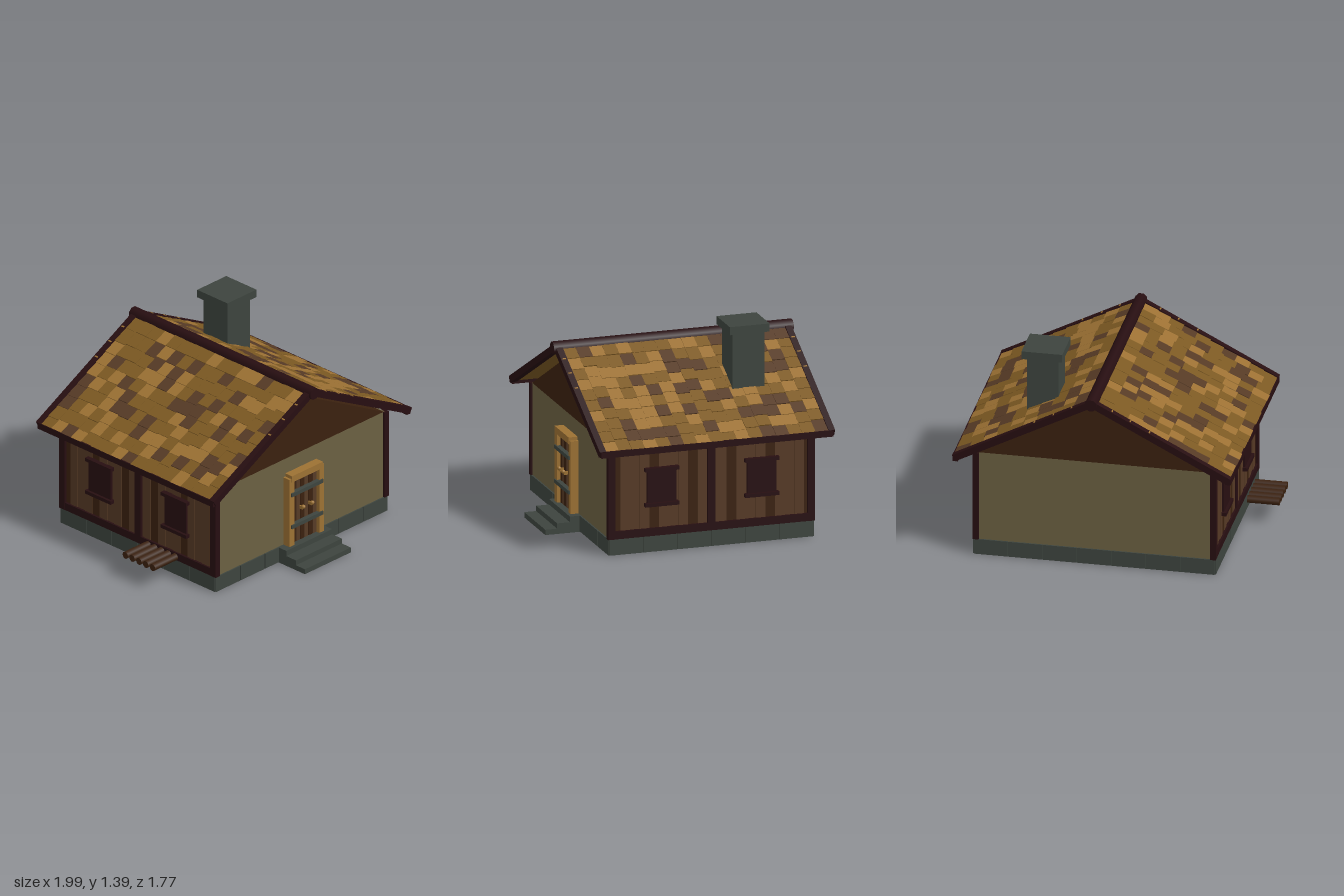
import * as THREE from 'three';
import { mergeGeometries } from 'three/addons/utils/BufferGeometryUtils.js';

const mat = (name, color) => {
  const m = new THREE.MeshStandardMaterial({ color });
  m.name = name;
  return m;
};

export function createModel() {
  const M = {
    stone: mat('stone', 0x3d443e),
    plaster: mat('plaster', 0x6b6042),
    darkWood: mat('darkWood', 0x3b210f),
    beam: mat('beam', 0x270e11),
    brown: mat('brownWood', 0x563a25),
    gold: mat('goldenWood', 0x9c7133),
    ochre: mat('ochreWood', 0x7c5922),
  };
  let seed = 7;
  const rnd = () => (seed = (seed * 16807) % 2147483647) / 2147483647;

  const add = (parent, name, geo, material) => {
    const m = new THREE.Mesh(geo, material);
    m.name = name;
    parent.add(m);
    return m;
  };
  // box geometry from its minimum and maximum corners
  const span = (x0, x1, y0, y1, z0, z1) =>
    new THREE.BoxGeometry(x1 - x0, y1 - y0, z1 - z0)
      .translate((x0 + x1) / 2, (y0 + y1) / 2, (z0 + z1) / 2);
  const box = (parent, name, material, ...c) => add(parent, name, span(...c), material);

  const model = new THREE.Group();
  model.name = 'cottage';
  const house = new THREE.Group();
  house.name = 'house';
  house.position.set(0.065, 0, -0.057);
  model.add(house);

  // foundation core and separate stone blocks around it
  const HX = 0.81, HZ = 0.715;
  box(house, 'foundationCore', M.stone, -HX + 0.012, HX - 0.012, 0, 0.106, -HZ + 0.012, HZ - 0.012);
  const blocks = [];
  const row = (n, half, make) => {
    const w = (2 * half) / n;
    for (let i = 0; i < n; i++) make(-half + i * w + 0.003, -half + (i + 1) * w - 0.003);
  };
  for (const s of [-1, 1]) {
    row(7, HX - 0.004, (a, b) => blocks.push(span(a, b, 0.003, 0.11, s * (HZ - 0.04) - 0.035, s * (HZ - 0.04) + 0.035)));
    row(6, HZ - 0.01, (a, b) => blocks.push(span(s * (HX - 0.04) - 0.04, s * (HX - 0.04) + 0.04, 0.003, 0.11, a, b)));
  }
  add(house, 'foundationStones', mergeGeometries(blocks), M.stone);

  // plastered walls and timber gable
  box(house, 'walls', M.plaster, -0.785, 0.785, 0.105, 0.738, -0.7, 0.7);
  const tri = new THREE.Shape([
    new THREE.Vector2(-0.775, 0.738), new THREE.Vector2(0.775, 0.738), new THREE.Vector2(0, 1.148)]);
  add(house, 'gable', new THREE.ExtrudeGeometry(tri, { depth: 1.406, bevelEnabled: false }).translate(0, 0, -0.703), M.darkWood);

  // each long side: posts, sill, planks, shutters and one roof slope
  const buildSide = (name, turn) => {
    const side = new THREE.Group();
    side.name = name;
    side.rotation.y = turn;
    house.add(side);

    for (const s of [-1, 1])
      box(side, 'cornerPost', M.beam, 0.772, 0.812, 0.11, 0.735, s * 0.689 - 0.025, s * 0.689 + 0.025);
    box(side, 'middlePost', M.beam, 0.78, 0.81, 0.11, 0.72, -0.027, 0.027);
    box(side, 'sillBeam', M.beam, 0.78, 0.81, 0.11, 0.163, -0.67, 0.67);

    const planks = { darkWood: [], brown: [] };
    for (let i = 0; i < 21; i++) {
      const z = 0.692 - i * 0.0667;
      const z0 = Math.max(z - 0.0657, -0.68), z1 = Math.min(z, 0.68);
      if (z1 - z0 > 0.005)
        planks[i % 4 ? 'brown' : 'darkWood'].push(span(0.78, 0.794 + (i % 2) * 0.004, 0.16, 0.69, z0, z1));
    }
    for (const k in planks) add(side, 'wallPlanks', mergeGeometries(planks[k]), M[k]);

    for (const z of [-0.345, 0.345]) {
      box(side, 'shutter', M.beam, 0.78, 0.812, 0.32, 0.565, z - 0.1, z + 0.1);
      for (const y of [0.325, 0.564])
        box(side, 'shutterBar', M.beam, 0.79, 0.83, y - 0.012, y + 0.012, z - 0.117, z + 0.117);
    }

    // roof slope, local x runs from ridge down to eave
    const slope = new THREE.Group();
    slope.name = 'roofSlope';
    slope.position.y = 1.207;
    slope.rotation.z = -0.479;
    side.add(slope);
    box(slope, 'roofBoards', M.ochre, 0.01, 1.025, -0.014, 0.004, -0.785, 0.785);
    for (const s of [-1, 1]) {
      box(slope, 'bargeBoard', M.beam, 0, 1.035, -0.022, 0.024, s * 0.79 - 0.022, s * 0.79 + 0.022);
      for (const u of [0.14, 0.276, 0.42])
        box(slope, 'peg', M.gold, u - 0.005, u + 0.005, 0.02, 0.027, s * 0.79 - 0.012, s * 0.79 + 0.012);
    }

    // overlapping shingles in staggered columns
    const shingles = { gold: [], ochre: [], brown: [] };
    const cols = 17, rows = 10, w = 1.54 / cols, len = 1.0 / rows;
    for (let c = 0; c < cols; c++) {
      const shift = (rnd() - 0.5) * 0.04;
      for (let r = 0; r < rows; r++) {
        const p = rnd();
        const key = p < 0.33 ? 'gold' : p < 0.8 ? 'ochre' : 'brown';
        const u = 0.06 + len * r + (r && r < rows - 1 ? shift : 0);
        const g = new THREE.BoxGeometry(len + 0.05, 0.01, w - 0.002 + rnd() * 0.004);
        g.rotateZ(0.05);
        g.translate(u, 0.009 + rnd() * 0.004, -0.77 + (c + 0.5) * w);
        shingles[key].push(g);
      }
    }
    for (const k in shingles) add(slope, 'shingles', mergeGeometries(shingles[k]), M[k]);

    box(side, 'eaveBeam', M.beam, 0.892, 0.928, 0.706, 0.75, -0.8, 0.8);
  };
  buildSide('leftSide', 0);
  buildSide('rightSide', Math.PI);

  // ridge beam
  add(house, 'ridgeBeam',
    new THREE.CylinderGeometry(0.042, 0.042, 1.655, 8).toNonIndexed().rotateY(Math.PI / 8).rotateX(Math.PI / 2).translate(0, 1.206, 0), M.beam);

  // chimney
  box(house, 'chimneyStack', M.stone, 0.29, 0.5, 0.82, 1.345, -0.468, -0.248);
  box(house, 'chimneyCap', M.stone, 0.258, 0.53, 1.34, 1.395, -0.495, -0.22);

  // front door with frame, planks, straps and knobs
  const door = new THREE.Group();
  door.name = 'door';
  door.position.set(0, 0, 0.7);
  house.add(door);
  for (const s of [-1, 1]) {
    box(door, 'doorJamb', M.gold, s * 0.14 - 0.023, s * 0.14 + 0.023, 0.11, 0.605, -0.01, 0.055);
    const knob = new THREE.SphereGeometry(0.014, 10, 8).translate(s * 0.042, 0.367, 0.065);
    add(door, 'doorKnob', knob, M.gold);
    box(door, 'knobStem', M.gold, s * 0.042 - 0.005, s * 0.042 + 0.005, 0.345, 0.367, 0.025, 0.06);
  }
  box(door, 'doorLintel', M.gold, -0.145, 0.145, 0.582, 0.628, -0.01, 0.062);
  box(door, 'doorBack', M.beam, -0.118, 0.118, 0.11, 0.583, -0.01, 0.02);
  for (let i = 0; i < 6; i++) {
    const x = -0.117 + i * 0.039;
    box(door, 'doorPlank', i % 2 ? M.brown : M.darkWood, x + 0.003, x + 0.036, 0.113, 0.58, 0, 0.032);
  }
  for (const y of [0.252, 0.487])
    box(door, 'doorStrap', M.stone, -0.147, 0.147, y - 0.013, y + 0.013, 0.02, 0.064);

  // entrance steps
  [[0.11, 0.777], [0.072, 0.865], [0.036, 0.947]].forEach(([h, z]) =>
    box(house, 'step', M.stone, -0.215, 0.215, 0, h, 0.69, z));

  // row of logs beside the right wall
  for (let i = 0; i < 5; i++)
    add(model, 'log', new THREE.CylinderGeometry(0.025, 0.025, 0.215, 10)
      .rotateZ(Math.PI / 2).translate(-0.8925, 0.162, 0.078 + i * 0.062), M.darkWood);

  return model;
}
